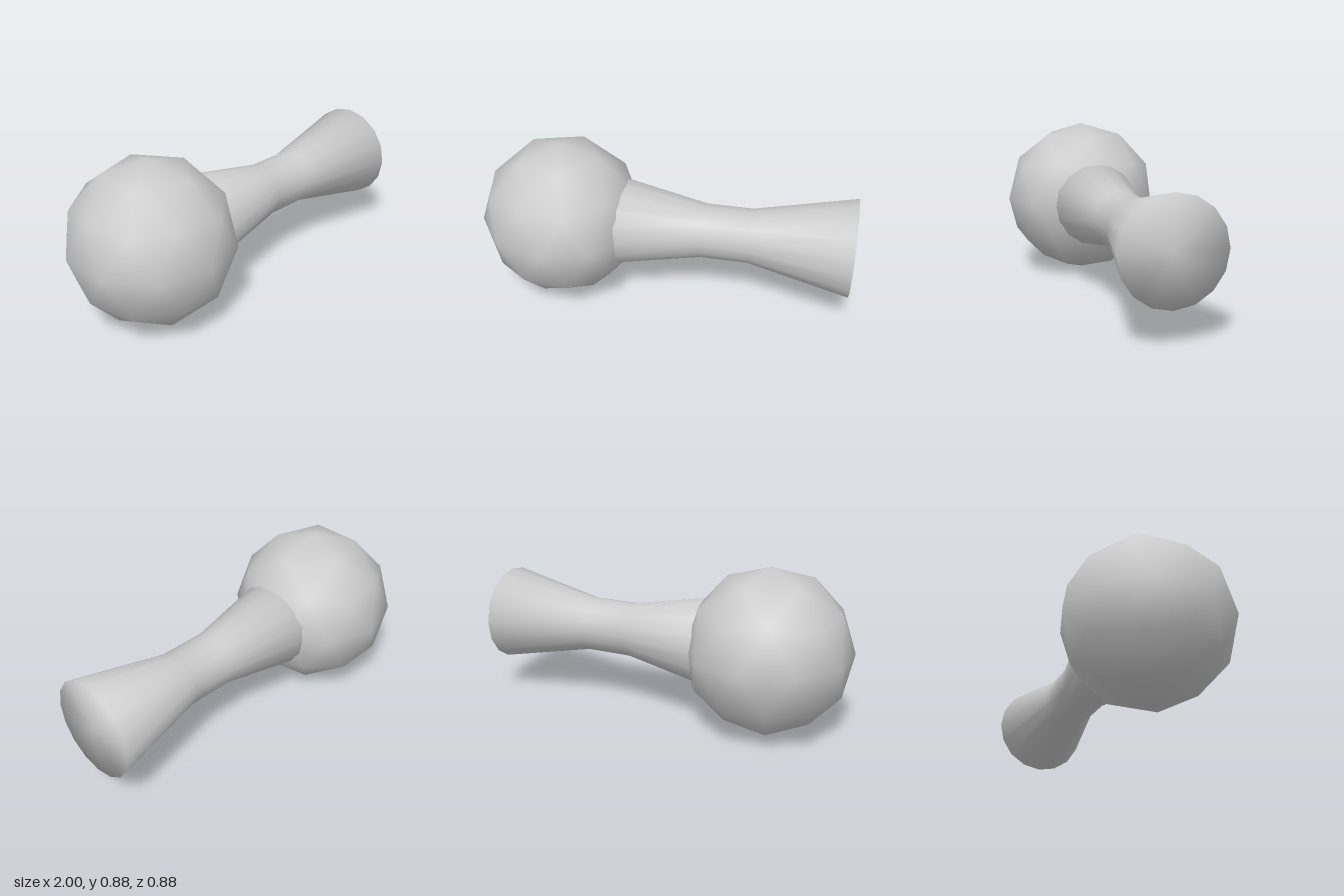
import * as THREE from 'three';

const CENTRE_Y = 0.44;

export function createModel() {
  const model = new THREE.Group();
  const material = new THREE.MeshStandardMaterial({ color: 0xcccccc });

  // Ball: once-subdivided icosahedron, turned so one corner points straight up
  const ballGeometry = new THREE.IcosahedronGeometry(0.44, 1);
  ballGeometry.rotateZ(-Math.atan(2 / (1 + Math.sqrt(5))));
  const ball = new THREE.Mesh(ballGeometry, material);
  ball.name = 'ball';
  ball.position.set(-0.582, CENTRE_Y, 0);
  model.add(ball);

  // Handle: closed 16-sided waisted bar, [radius, x] profile turned about the x axis
  const profile = [
    [0, -0.33], [0.252, -0.33], [0.148, 0.205], [0.148, 0.46], [0.263, 1], [0, 1],
  ].map(([r, x]) => new THREE.Vector2(r, x));
  const handleGeometry = new THREE.LatheGeometry(profile, 16);
  handleGeometry.rotateZ(-Math.PI / 2);
  const handle = new THREE.Mesh(handleGeometry, material);
  handle.name = 'handle';
  handle.position.y = CENTRE_Y;
  model.add(handle);

  return model;
}
